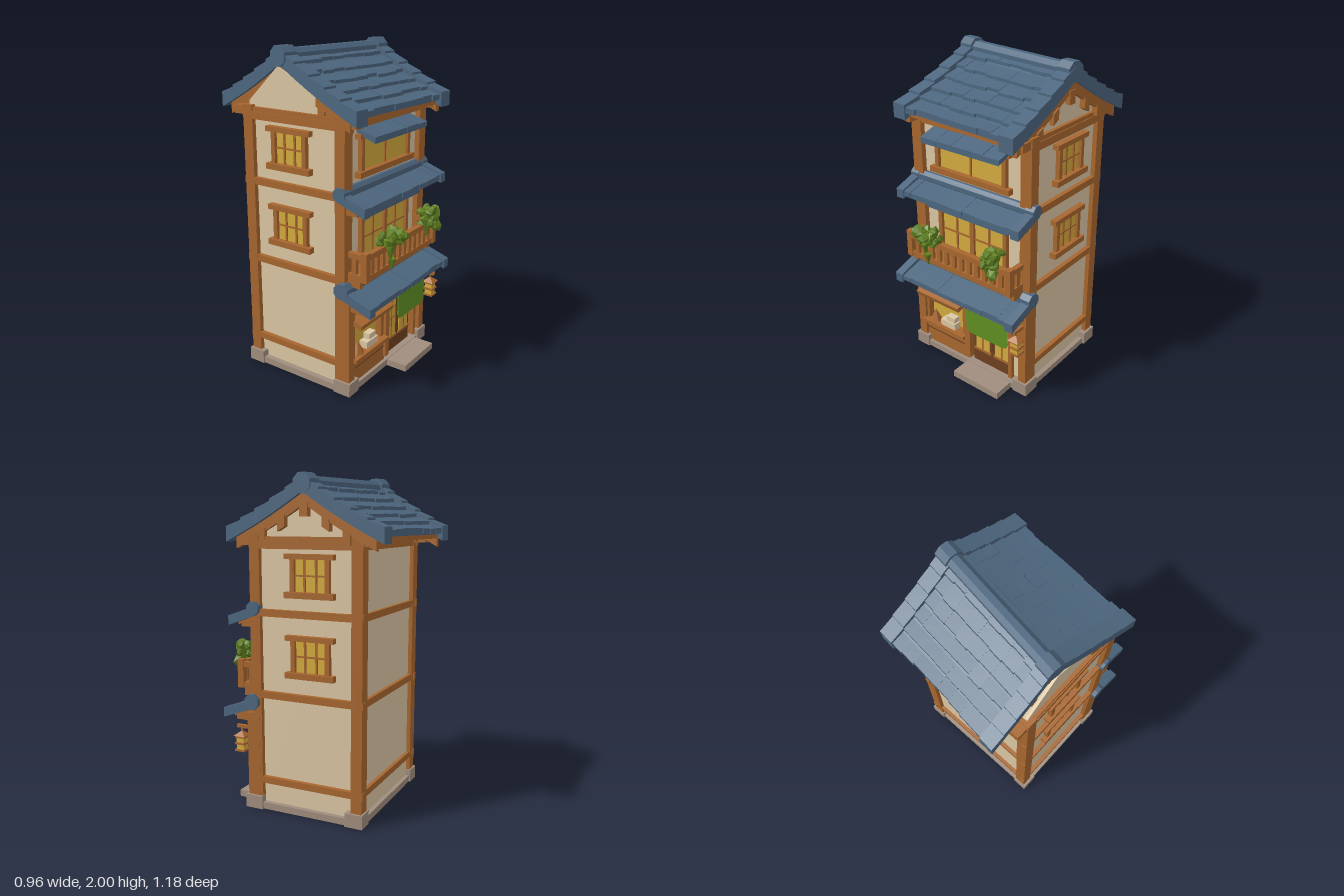
import * as THREE from 'three';

const mat = (name, color) => Object.assign(new THREE.MeshStandardMaterial({ color }), { name });
const roofBlue = mat('roof tile blue', 0x4d677f);
const wood = mat('timber', 0xa8672f);
const darkWood = mat('dark timber', 0x70401f);
const plaster = mat('plaster', 0xdcc7a4);
const stone = mat('stone', 0xa08e7e);
const glass = mat('lit paper window', 0xd4ab3e);
const leaf = mat('foliage', 0x5f7f1f);
const cloth = mat('green cloth', 0x5f9022);

// Seeded random in -1..1
let seed = 7;
const rnd = () => ((seed = (seed * 16807) % 2147483647) / 2147483647) * 2 - 1;
const lerp = THREE.MathUtils.lerp;

export function createModel() {
  const root = new THREE.Group();

  // Faceted mesh
  const add = (name, geo, material, parent = root) => {
    const g = geo.index ? geo.toNonIndexed() : geo;
    g.computeVertexNormals();
    const m = new THREE.Mesh(g, material);
    m.name = name;
    parent.add(m);
    return m;
  };
  // Box given by its limits
  const box = (name, material, x0, x1, y0, y1, z0, z1, parent = root) =>
    add(name, new THREE.BoxGeometry(x1 - x0, y1 - y0, z1 - z0)
      .translate((x0 + x1) / 2, (y0 + y1) / 2, (z0 + z1) / 2), material, parent);
  const group = (name) => {
    const g = new THREE.Group();
    g.name = name;
    root.add(g);
    return g;
  };
  // Box in (across, height, slope) space bent onto a roof surface; the low end is lifted
  const onRoof = (name, material, fn, s0, s1, h0, h1, t0, t1, parent, lift = 0, segs = 1) => {
    const geo = new THREE.BoxGeometry(1, 1, 1, 1, 1, segs);
    const p = geo.attributes.position;
    for (let i = 0; i < p.count; i++) {
      const s = lerp(s0, s1, p.getX(i) + 0.5), t = lerp(t0, t1, p.getZ(i) + 0.5);
      const low = Math.abs(t) > Math.abs((t0 + t1) / 2) ? lift : 0;
      const h = p.getY(i) > 0 ? h1 + low : h0;
      p.setXYZ(i, ...fn(s, h, t));
    }
    return add(name, geo, material, parent);
  };

  // Foundation
  box('underside', darkWood, -0.44, 0.43, 0, 0.008, -0.385, 0.36);
  box('foundation', stone, -0.45, 0.44, 0.004, 0.045, -0.39, 0.365);
  box('doorStep', stone, -0.02, 0.33, 0, 0.042, 0.34, 0.5);
  for (const x of [-0.41, 0.405]) for (const [z0, z1] of [[-0.4, -0.29], [0.26, 0.375]])
    box('cornerStone', stone, x - 0.05, x + 0.05, 0.003, 0.085, z0, z1);

  // Body and gables
  box('walls', plaster, -0.415, 0.41, 0.04, 1.66, -0.365, 0.295);
  for (const [x, apex] of [[-0.415, -0.15], [0.395, -0.04]]) {
    const sh = new THREE.Shape([[-0.295, 1.6], [0.365, 1.6], [0.365, 1.68], [-apex, 1.885], [-0.295, 1.68]]
      .map((p) => new THREE.Vector2(...p)));
    add('gableWall', new THREE.ExtrudeGeometry(sh, { depth: 0.015, bevelEnabled: false })
      .rotateY(Math.PI / 2).translate(x, 0, 0), plaster);
  }

  // Timber frame
  const frame = group('timberFrame');
  for (const x of [-0.407, 0.402]) {
    box('frontPost', wood, x - 0.037, x + 0.037, 0.07, 1.66, 0.262, 0.328, frame);
    box('backPost', wood, x - 0.037, x + 0.037, 0.07, 1.66, -0.39, -0.322, frame);
    box('eaveBracket', wood, x - 0.03, x + 0.03, 1.6, 1.65, -0.46, 0.4, frame);
  }
  for (const [y0, y1] of [[0.17, 0.21], [0.7, 0.742], [1.19, 1.232], [1.58, 1.625]]) {
    for (const x of [-0.425, 0.42]) box('sideBeam', wood, x - 0.018, x + 0.018, y0, y1, -0.395, 0.32, frame);
    box('backBeam', wood, -0.44, 0.435, y0, y1, -0.387, -0.35, frame);
    if (y0 > 0.5) box('frontBeam', wood, -0.44, 0.435, y0, y1, 0.28, 0.325, frame);
  }

  // Framed window centred on x, facing +z, with muntin bars
  const windowUnit = (name, w, h, cols, rows) => {
    const g = group(name);
    box('pane', glass, -w / 2, w / 2, 0, h, 0, 0.008, g);
    for (const s of [-1, 1])
      box('jamb', wood, s * w / 2 - 0.014, s * w / 2 + 0.014, -0.02, h + 0.02, 0, 0.028, g);
    box('sill', wood, -w / 2 - 0.045, w / 2 + 0.045, -0.035, 0, 0, 0.042, g);
    box('lintel', wood, -w / 2 - 0.045, w / 2 + 0.045, h, h + 0.03, 0, 0.038, g);
    for (let i = 1; i < cols; i++) box('muntin', wood, -w / 2 + w * i / cols - 0.006, -w / 2 + w * i / cols + 0.006, 0, h, 0.005, 0.016, g);
    for (let i = 1; i < rows; i++) box('muntin', wood, -w / 2, w / 2, h * i / rows - 0.005, h * i / rows + 0.005, 0.005, 0.015, g);
    return g;
  };
  for (const y of [0.875, 1.34]) for (const side of [-1, 1]) {
    const g = windowUnit('sideWindow', 0.22, 0.185, 3, 2);
    g.position.set(side > 0 ? 0.41 : -0.415, y, -0.062);
    g.rotation.y = side * Math.PI / 2;
  }
  windowUnit('topFloorWindow', 0.5, 0.185, 2, 1).position.set(-0.005, 1.33, 0.295);
  windowUnit('balconyWindow', 0.5, 0.31, 4, 2).position.set(0, 0.77, 0.295);
  box('balconyDoorStile', wood, -0.015, 0.015, 0.77, 1.08, 0.295, 0.32);

  // Main roof surface: skewed in plan, t = 1 front eave, 0 ridge, -1 back eave
  const mainRoof = (s, h, t) => {
    const a = Math.abs(t), k = (s + 1) / 2, f = t > 0;
    const xl = lerp(-0.4, f ? -0.48 : -0.39, a), xr = lerp(0.46, f ? 0.435 : 0.48, a);
    const zl = lerp(-0.15, f ? 0.42 : -0.6, a), zr = lerp(-0.03, f ? 0.48 : -0.52, a);
    return [lerp(xl, xr, k), 1.945 - 0.275 * a - 0.012 * Math.sin(a * Math.PI) + h, lerp(zl, zr, k)];
  };
  const roof = group('mainRoof');
  const courses = 6, columns = 8;
  for (const dir of [-1, 1]) {
    const span = (a, b) => (dir > 0 ? [a, b] : [-b, -a]);
    onRoof('soffit', wood, mainRoof, -0.9, 0.9, -0.055, -0.02, ...span(0, 0.94), roof, 0, 6);
    onRoof('roofDeck', roofBlue, mainRoof, -0.9, 0.9, -0.025, 0, ...span(0, 0.96), roof, 0, 6);
    for (let r = 0; r < courses; r++) for (let c = 0; c < columns; c++) {
      const s = -0.84 + 1.68 * c / columns;
      onRoof('tile', roofBlue, mainRoof, s, s + 1.68 / columns, -0.012, 0.002 + rnd() * 0.002,
        ...span(r / courses, (r + 1) / courses - 0.015 + rnd() * 0.015), roof, 0.018);
    }
    for (const side of [-1, 1]) {
      const sSpan = (a, b) => (side > 0 ? [a, b] : [-b, -a]);
      for (let r = 0; r < 5; r++)
        onRoof('vergeTile', roofBlue, mainRoof, ...sSpan(0.79, 1), -0.05, 0.026,
          ...span(r / 5, (r + 1) / 5 + 0.012), roof, 0.014);
      onRoof('bargeBoard', wood, mainRoof, ...sSpan(0.88, 0.95), -0.115, -0.05, ...span(0, 0.9), roof, 0, 6);
      for (const t of [0.24, 0.5])
        onRoof('gablePeg', wood, mainRoof, ...sSpan(0.88, 0.97), -0.165, -0.1, ...span(t, t + 0.09), roof);
    }
  }
  for (const s of [-0.925, 0.925]) onRoof('gablePeg', wood, mainRoof, s - 0.04, s + 0.04, -0.17, -0.09, -0.05, 0.05, roof);

  // Ridge roll with fat end caps
  const ridgePiece = (name, s0, s1, r, cy) => {
    const a = new THREE.Vector3(...mainRoof(s0, cy, 0)), b = new THREE.Vector3(...mainRoof(s1, cy, 0));
    const m = add(name, new THREE.CylinderGeometry(r, r, a.distanceTo(b), 8).rotateY(Math.PI / 8).rotateZ(Math.PI / 2), roofBlue, roof);
    m.position.copy(a).lerp(b, 0.5);
    m.rotation.y = -Math.atan2(b.z - a.z, b.x - a.x);
  };
  ridgePiece('ridgeRoll', -0.9, 0.9, 0.048, -0.008);
  ridgePiece('ridgeCap', -1.02, -0.8, 0.062, -0.004);
  ridgePiece('ridgeCap', 0.8, 1.0, 0.062, -0.004);

  // Pent roofs over the shop and balcony, and small window hoods
  const pentRoof = (name, x0, x1, yTop, yLow, zIn, zOut, tiles, r) => {
    const g = group(name);
    const fn = (s, h, t) => [lerp(x0, x1, s), lerp(yTop, yLow, t) + h, lerp(zIn, zOut, t)];
    onRoof('pentDeck', roofBlue, fn, 0.01, 0.99, -0.028, -0.005, 0, 0.95, g);
    for (let i = 0; i < tiles; i++)
      onRoof('pentTile', roofBlue, fn, i / tiles, (i + 1) / tiles, -0.02, -0.002 + rnd() * 0.003, 0, 0.97 + rnd() * 0.02, g, 0.012);
    if (!r) return;
    onRoof('pentSoffit', wood, fn, 0.04, 0.96, -0.05, -0.026, 0, 0.78, g);
    add('pentRoll', new THREE.CylinderGeometry(r * 0.85, r * 0.85, x1 - x0, 8).rotateY(Math.PI / 8).rotateZ(Math.PI / 2)
      .translate((x0 + x1) / 2, yTop, zIn + 0.03), roofBlue, g);
    for (const s of [0, 0.94]) {
      onRoof('pentVerge', roofBlue, fn, s, s + 0.06, -0.035, 0.022, 0.05, 1.02, g);
      add('pentEndCap', new THREE.CylinderGeometry(r, r, 0.062, 8).rotateY(Math.PI / 8).rotateZ(Math.PI / 2)
        .translate(lerp(x0, x1, s + 0.03), yTop, zIn + 0.03), roofBlue, g);
    }
  };
  pentRoof('shopRoof', -0.47, 0.46, 0.672, 0.595, 0.29, 0.515, 8, 0.05);
  pentRoof('balconyRoof', -0.46, 0.46, 1.235, 1.165, 0.27, 0.465, 9, 0.042);
  pentRoof('topWindowHood', -0.285, 0.29, 1.575, 1.525, 0.29, 0.42, 5, 0);
  pentRoof('balconyWindowHood', -0.31, 0.31, 1.125, 1.1, 0.29, 0.38, 6, 0);
  for (const x of [-0.4, 0.395]) {
    box('shopRoofBracket', wood, x - 0.03, x + 0.03, 0.545, 0.59, 0.3, 0.45);
    box('balconyRoofBracket', wood, x - 0.03, x + 0.03, 1.12, 1.16, 0.3, 0.4);
  }
  box('balconyHeader', wood, -0.43, 0.425, 1.125, 1.16, 0.29, 0.335);

  // Shop front
  const shop = group('shopFront');
  for (const [x0, x1] of [[-0.445, -0.385], [-0.04, 0], [0.31, 0.335], [0.385, 0.44]])
    box('shopPost', wood, x0, x1, 0.07, 0.6, 0.28, 0.362, shop);
  box('shopHeader', wood, -0.44, 0.435, 0.5, 0.6, 0.28, 0.355, shop);
  box('shopDado', wood, -0.39, -0.03, 0.045, 0.2, 0.28, 0.345, shop);
  box('dadoRail', darkWood, -0.385, -0.04, 0.14, 0.147, 0.344, 0.349, shop);
  box('shopSill', wood, -0.4, -0.04, 0.2, 0.222, 0.28, 0.385, shop);
  box('shopPane', glass, -0.39, -0.04, 0.22, 0.47, 0.295, 0.304, shop);
  for (const x of [-0.385, -0.06]) box('shopJamb', wood, x - 0.012, x + 0.02, 0.22, 0.47, 0.295, 0.345, shop);
  const hood = box('shopWindowHood', wood, -0.4, -0.045, -0.016, 0.016, 0, 0.09, shop);
  hood.position.set(0, 0.468, 0.33);
  hood.rotation.x = 0.3;
  box('displayBox', plaster, -0.25, -0.13, 0.222, 0.265, 0.305, 0.36, shop);
  box('displayBox', plaster, -0.21, -0.14, 0.265, 0.3, 0.305, 0.35, shop);
  add('displayLoaf', new THREE.ConeGeometry(0.042, 0.08, 6).translate(-0.315, 0.262, 0.335), wood, shop);
  box('plasterStrip', plaster, 0.335, 0.385, 0.08, 0.5, 0.29, 0.335, shop);

  // Sliding doors
  for (const x of [0.002, 0.157]) {
    box('doorLeaf', darkWood, x, x + 0.153, 0.045, 0.5, 0.29, 0.322, shop);
    box('doorPane', glass, x + 0.022, x + 0.131, 0.15, 0.46, 0.32, 0.327, shop);
    box('doorBar', wood, x + 0.072, x + 0.081, 0.15, 0.46, 0.325, 0.331, shop);
    box('doorBar', wood, x + 0.022, x + 0.131, 0.28, 0.288, 0.325, 0.331, shop);
    box('doorRail', wood, x + 0.01, x + 0.143, 0.135, 0.15, 0.32, 0.332, shop);
  }

  // Cloth banner with rounded lower corners, hung on a rail
  const c = new THREE.Shape();
  c.moveTo(0.02, 0.485).lineTo(0.02, 0.355).lineTo(0.03, 0.333).lineTo(0.055, 0.322).lineTo(0.305, 0.322)
    .lineTo(0.33, 0.333).lineTo(0.34, 0.355).lineTo(0.34, 0.485);
  add('banner', new THREE.ExtrudeGeometry(c, { depth: 0.008, bevelEnabled: false }).translate(0, 0, 0.405), cloth);
  box('bannerRail', wood, 0, 0.36, 0.487, 0.5, 0.4, 0.413);
  for (const x of [0.04, 0.13, 0.23, 0.32]) {
    box('bannerTie', cloth, x - 0.009, x + 0.009, 0.48, 0.52, 0.397, 0.416);
    box('bannerHook', wood, x - 0.006, x + 0.006, 0.487, 0.5, 0.35, 0.4);
  }

  // Lantern on the corner post
  const lantern = group('lantern');
  box('lanternArm', wood, 0.405, 0.425, 0.49, 0.51, 0.34, 0.45, lantern);
  box('lanternHanger', wood, 0.41, 0.42, 0.44, 0.5, 0.415, 0.425, lantern);
  box('lanternGlow', glass, 0.39, 0.44, 0.355, 0.43, 0.395, 0.445, lantern);
  for (const y of [0.345, 0.388, 0.43]) box('lanternBand', wood, 0.382, 0.448, y, y + 0.012, 0.387, 0.453, lantern);
  add('lanternCap', new THREE.ConeGeometry(0.055, 0.03, 4).rotateY(Math.PI / 4).translate(0.415, 0.457, 0.42), wood, lantern);

  // Balcony
  const balcony = group('balcony');
  box('balconyFloor', wood, -0.41, 0.39, 0.735, 0.77, 0.3, 0.45, balcony);
  box('frontRail', wood, -0.415, 0.395, 0.865, 0.9, 0.42, 0.455, balcony);
  for (const x of [-0.395, 0.375]) {
    box('sideRail', wood, x - 0.016, x + 0.016, 0.865, 0.898, 0.3, 0.44, balcony);
    box('balconyPost', wood, x - 0.02, x + 0.02, 0.735, 0.91, 0.415, 0.455, balcony);
    box('sideBaluster', wood, x - 0.012, x + 0.012, 0.76, 0.87, 0.35, 0.38, balcony);
    box('balconyStrut', wood, x - 0.015, x + 0.015, 0.69, 0.74, 0.3, 0.41, balcony);
  }
  for (let i = 1; i < 13; i++) {
    const x = -0.395 + 0.77 * i / 13;
    box('baluster', wood, x - 0.014, x + 0.014, 0.76, 0.87, 0.428, 0.447, balcony);
  }

  // Trailing balcony plants
  const plant = (name, cx, cy, cz, rx, ry, rz, trailX, trailY) => {
    const g = group(name);
    for (let i = 0; i < 16; i++) {
      const m = add('leafClump', new THREE.IcosahedronGeometry(0.034 + 0.008 * rnd(), 0), leaf, g);
      m.position.set(cx + rx * rnd(), cy + ry * rnd(), cz + rz * rnd());
      m.rotation.set(rnd() * 3, rnd() * 3, rnd() * 3);
      m.scale.set(1.2, 0.75, 1);
    }
    for (let i = 0; i < 3; i++)
      add('trailingLeaf', new THREE.ConeGeometry(0.025, 0.08, 5).rotateX(Math.PI)
        .translate(trailX + 0.012 * rnd(), lerp(cy - 0.04, trailY + 0.04, i / 2), cz + 0.01), leaf, g);
  };
  plant('leftPlant', -0.2, 0.955, 0.48, 0.065, 0.035, 0.06, -0.215, 0.75);
  plant('rightPlant', 0.275, 0.945, 0.46, 0.05, 0.06, 0.04, 0.23, 0.82);

  return root;
}
